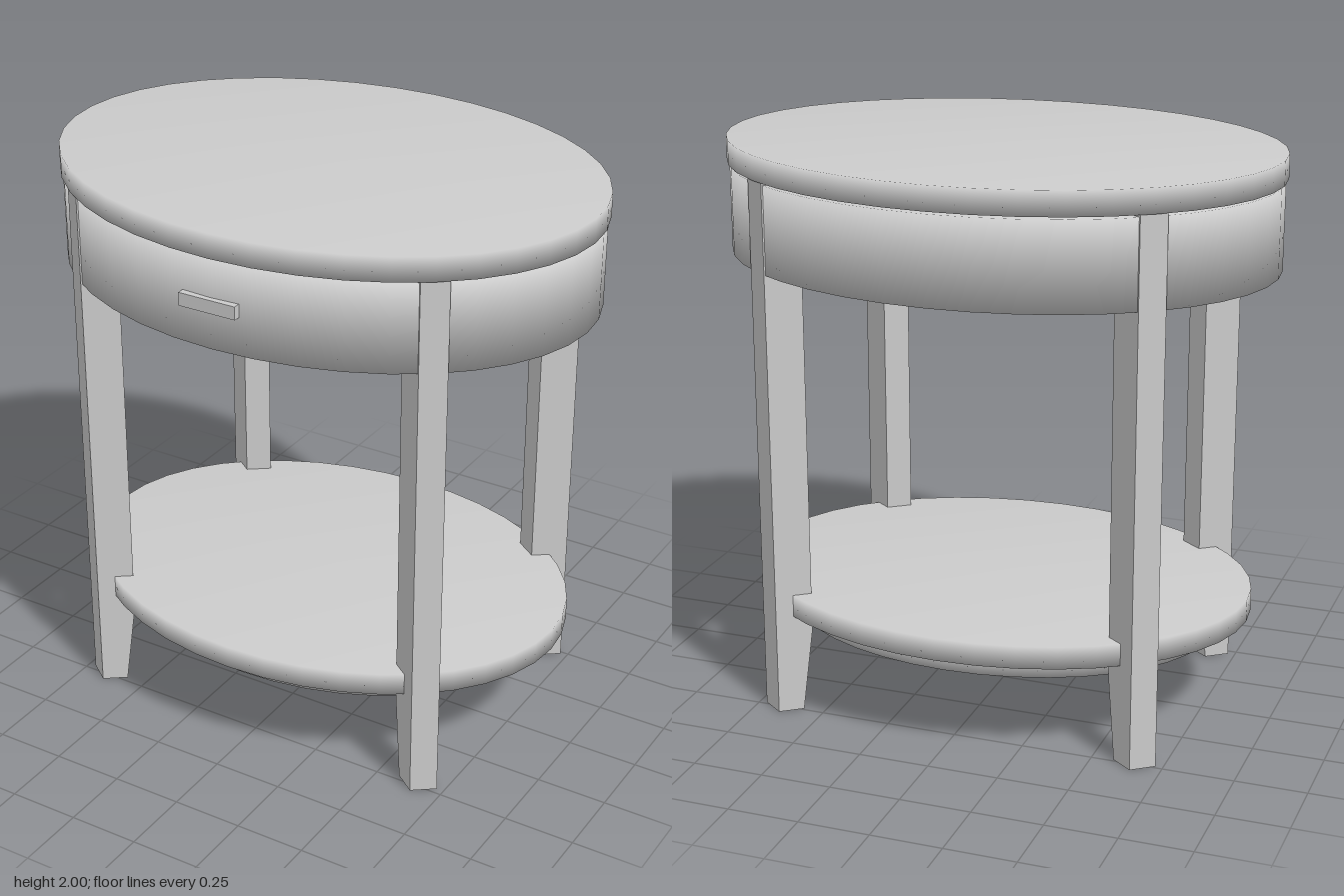
import * as THREE from 'three';

const OVAL = 0.745; // depth / width of the oval plan

export function createModel() {
  const model = new THREE.Group();
  model.name = 'ovalSideTable';
  const mat = new THREE.MeshStandardMaterial({ color: 0xcccccc });

  const add = (name, geometry, parent) => {
    const mesh = new THREE.Mesh(geometry, mat);
    mesh.name = name;
    parent.add(mesh);
    return mesh;
  };

  // Body is laid out on a circle, then squeezed in z to make the oval
  const body = new THREE.Group();
  body.name = 'ovalBody';
  body.scale.z = OVAL;
  body.position.z = -0.006;
  model.add(body);

  // Softly shaded round slab between two heights
  const slab = (name, r, y0, y1) => {
    const profile = [[0, y0], [r, y0], [r, y1], [0, y1]].map(([x, y]) => new THREE.Vector2(x, y));
    add(name, new THREE.LatheGeometry(profile, 40), body);
  };
  slab('tableTop', 0.978, 1.915, 2.0);
  slab('apron', 0.969, 1.6, 1.906);
  slab('lowerShelf', 0.904, 0.36, 0.44);
  slab('shelfSupport', 0.782, 0.285, 0.36);

  // Legs on the diagonals: straight outer face, foot tapering on the inner face
  const outer = 0.971, depth = 0.146, width = 0.106;
  const side = new THREE.Shape();
  side.moveTo(outer, 0);
  side.lineTo(outer, 1.916);
  side.lineTo(outer - depth, 1.916);
  side.lineTo(outer - depth, 0.3);
  side.lineTo(outer - depth + 0.043, 0);
  side.closePath();
  const legGeometry = new THREE.ExtrudeGeometry(side, { depth: width, bevelEnabled: false });
  legGeometry.translate(0, 0, -width / 2);
  ['backLeftLeg', 'backRightLeg', 'frontRightLeg', 'frontLeftLeg'].forEach((name, i) => {
    add(name, legGeometry, body).rotation.y = Math.PI / 4 + i * Math.PI / 2;
  });

  // Drawer pull on the front of the apron
  const handle = add('drawerHandle', new THREE.BoxGeometry(0.212, 0.046, 0.04), model);
  handle.position.set(-0.002, 1.757, 0.715);

  return model;
}
